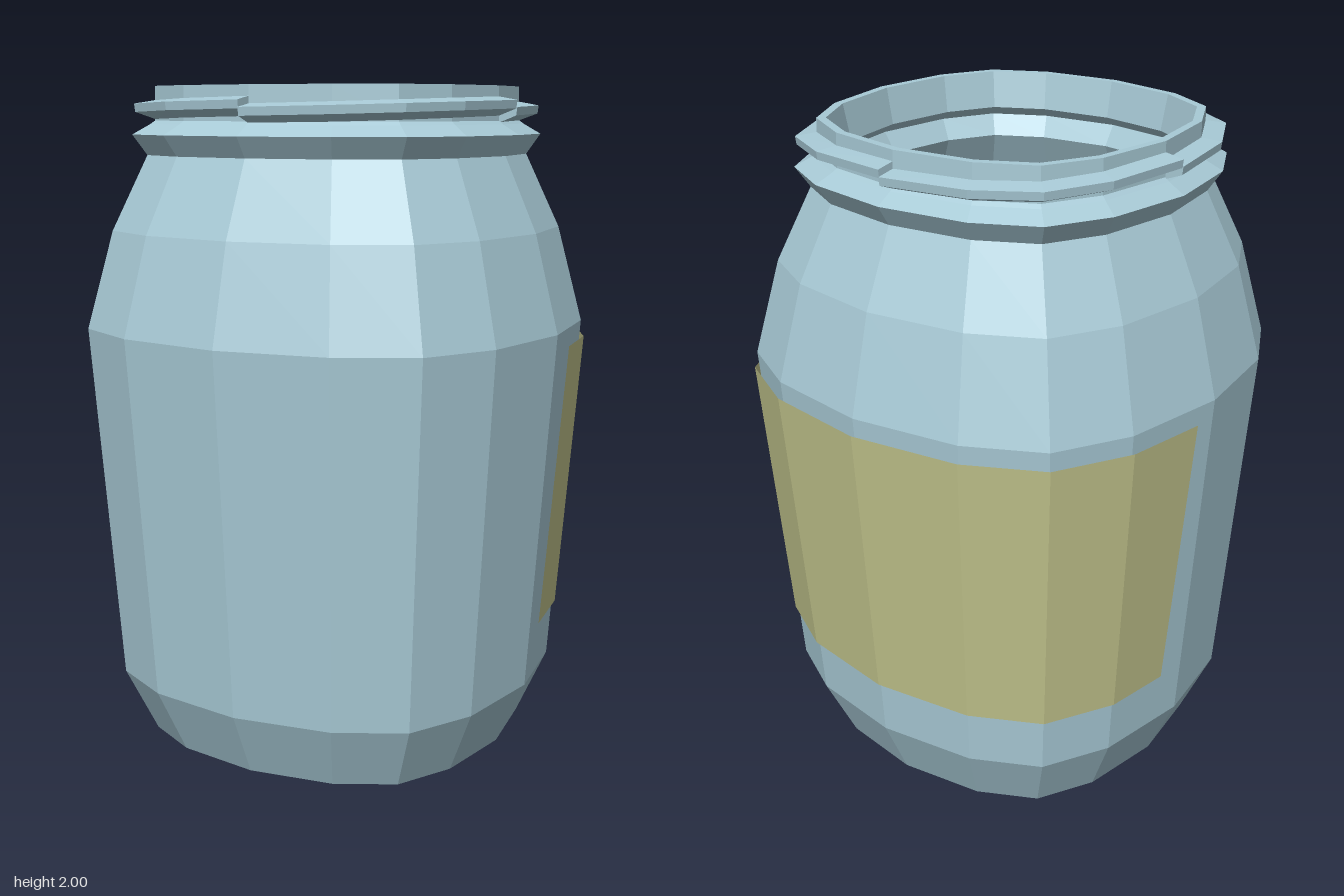
import * as THREE from 'three';

const SIDES = 16;
// One quarter of the rounded-square outline, starting at the front (+z)
const QUARTER = [[0, 1], [0.465, 0.93], [0.77, 0.77], [0.93, 0.465]];

// Outline corner k, turning from the front towards +x
function corner(k) {
  let [x, z] = QUARTER[k % 4];
  for (let q = 0; q < Math.floor(k / 4) % 4; q++) [x, z] = [z, -x];
  return [x, z];
}

// Point on the outline at any t, where whole numbers are corners
function outline(t) {
  const k = Math.floor(t), f = t - k;
  const a = corner(k % SIDES), b = corner((k + 1) % SIDES);
  return [a[0] + (b[0] - a[0]) * f, a[1] + (b[1] - a[1]) * f];
}

// Surface through sections; each section is a list of [t, radius, height]
function loft(sections, closed = false) {
  const n = sections[0].length, pos = [], index = [];
  for (const section of sections) {
    for (const [t, r, y] of section) {
      const [x, z] = outline(t);
      pos.push(x * r, y, z * r);
    }
  }
  for (let i = 0; i < sections.length - 1; i++) {
    for (let j = 0; j < (closed ? n : n - 1); j++) {
      const a = i * n + j, b = i * n + (j + 1) % n;
      index.push(a, a + n, b + n, a, b + n, b);
    }
  }
  if (closed) { // end caps
    const e = (sections.length - 1) * n;
    for (let j = 1; j < n - 1; j++) {
      index.push(0, j, j + 1, e, e + j + 1, e + j);
    }
  }
  const geometry = new THREE.BufferGeometry();
  geometry.setAttribute('position', new THREE.Float32BufferAttribute(pos, 3));
  geometry.setIndex(index);
  geometry.computeVertexNormals();
  return geometry;
}

export function createModel() {
  const jar = new THREE.Group();
  jar.name = 'jar';
  const glass = new THREE.MeshStandardMaterial({ color: 0xa8cad6, flatShading: true });
  const paper = new THREE.MeshStandardMaterial({ color: 0xbfc18a, flatShading: true, side: THREE.DoubleSide });

  const add = (name, geometry, material) => {
    const mesh = new THREE.Mesh(geometry, material);
    mesh.name = name;
    jar.add(mesh);
  };

  // Wall: up the outside, over the rim, down the inside to the floor
  const profile = [
    [0, 0], [0.555, 0], [0.645, 0.2], [0.72, 1.29], [0.645, 1.58], [0.545, 1.8],
    [0.585, 1.86], [0.535, 1.89], [0.522, 1.9], [0.52, 2],
    [0.495, 2], [0.475, 1.89], [0.51, 1.86], [0.47, 1.8],
    [0.585, 1.57], [0.66, 1.29], [0.59, 0.22], [0.5, 0.05], [0, 0.05],
  ].map(([r, y]) => new THREE.Vector2(r, y));
  const body = new THREE.LatheGeometry(profile, SIDES);
  const p = body.attributes.position;
  for (let i = 0; i < p.count; i++) {
    const r = profile[i % profile.length].x;
    const [x, z] = corner(Math.floor(i / profile.length) % SIDES);
    p.setXYZ(i, x * r, p.getY(i), z * r);
  }
  body.computeVertexNormals();
  add('jarBody', body, glass);

  // Four screw threads, each rising over a quarter turn
  for (let q = 0; q < 4; q++) {
    const sections = [];
    for (let i = 0; i <= 4; i++) {
      const t = q * 4 + i, y = 1.925 + i * 0.005;
      sections.push([[t, 0.515, y - 0.033], [t, 0.575, y - 0.01], [t, 0.578, y + 0.014], [t, 0.515, y + 0.025]]);
    }
    add('screwThread' + (q + 1), loft(sections, true), glass);
  }

  // Paper label wrapped around the back
  const columns = [[4.26, 4.36]];
  for (let t = 5; t <= 11; t++) columns.push([t, t]);
  columns.push([11.67, 11.76]);
  add('label', loft(columns.map(([low, high]) => [[low, 0.667, 0.375], [high, 0.73, 1.24]])), paper);

  return jar;
}
